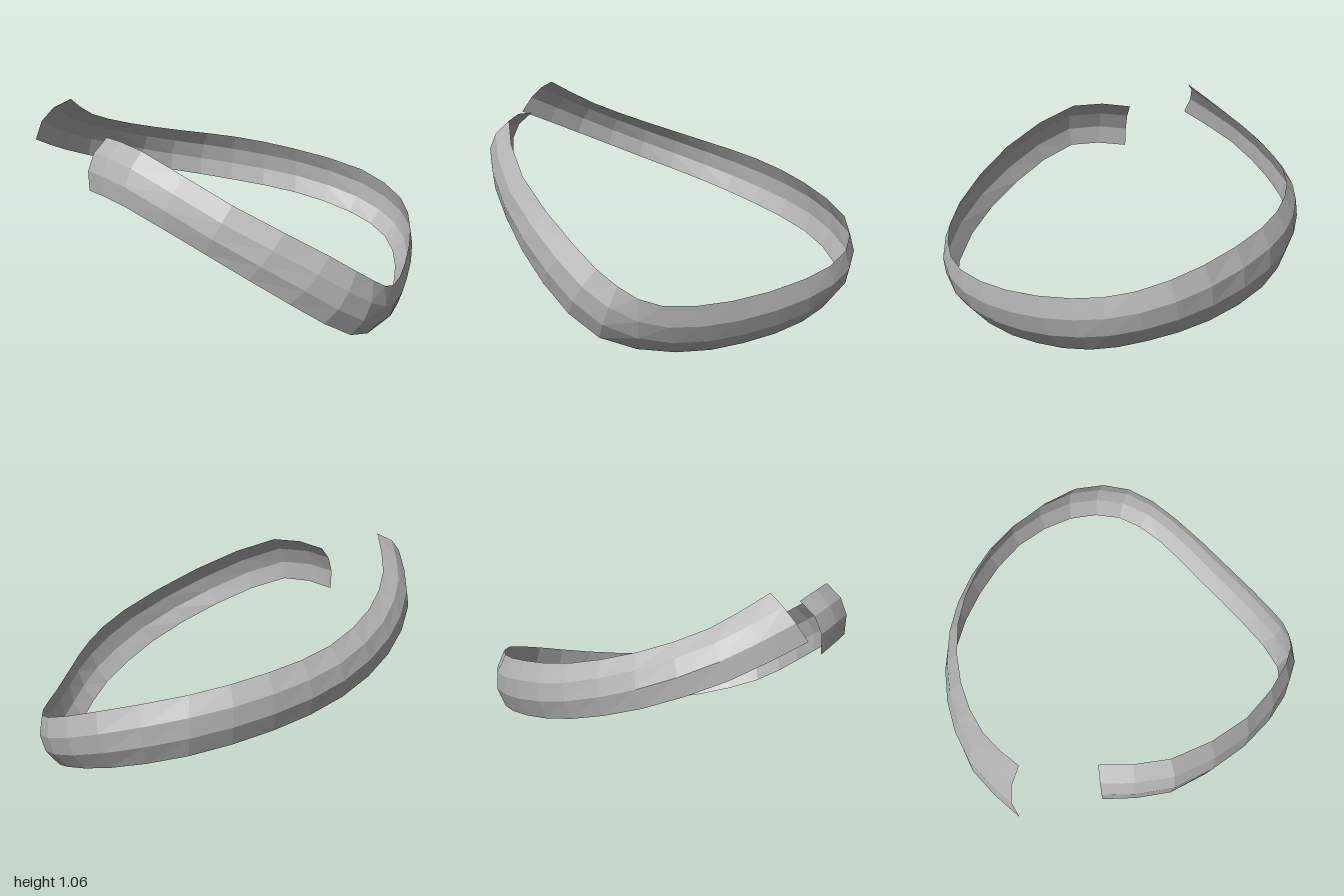
import * as THREE from 'three';

const SEGMENTS = 30; // facets along the band
const ROWS = 3;      // facets across the band
const BULGE = 0.04;  // outward bow of the cross-section

const curve = (points) =>
  new THREE.CatmullRomCurve3(points.map((p) => new THREE.Vector3(...p)), false, 'catmullrom', 0.5);

// Upper and lower edges of the band, running from the left front end round to the back end
const topEdge = curve([
  [-0.735, 0.94, -0.03], [-0.67, 0.95, 0.29], [-0.38, 0.76, 0.63], [0, 0.53, 0.825],
  [0.22, 0.38, 0.845], [0.39, 0.285, 0.75], [0.62, 0.26, 0.5], [0.86, 0.3, 0.18],
  [0.975, 0.37, -0.1], [0.89, 0.465, -0.39], [0.59, 0.555, -0.66], [0.27, 0.63, -0.8],
  [-0.06, 0.7, -0.83], [-0.39, 0.8, -0.74], [-0.65, 0.92, -0.57], [-0.81, 1.06, -0.365],
]);
const bottomEdge = curve([
  [-0.84, 0.7, 0], [-0.77, 0.71, 0.31], [-0.5, 0.54, 0.6], [-0.18, 0.32, 0.8],
  [0.12, 0.12, 0.83], [0.4, 0.02, 0.62], [0.63, 0.008, 0.36], [0.83, 0.055, 0.1],
  [0.915, 0.13, -0.15], [0.84, 0.2, -0.42], [0.6, 0.28, -0.67], [0.25, 0.365, -0.82],
  [-0.11, 0.46, -0.87], [-0.47, 0.58, -0.8], [-0.79, 0.73, -0.62], [-1, 0.88, -0.35],
]);

function bandGeometry() {
  const positions = [];
  const indices = [];
  for (let i = 0; i <= SEGMENTS; i++) {
    const t = i / SEGMENTS;
    const top = topEdge.getPoint(t);
    const bottom = bottomEdge.getPoint(t);
    const tangent = topEdge.getTangent(t).add(bottomEdge.getTangent(t));
    const outward = tangent.cross(top.clone().sub(bottom)).normalize();
    // Shallow arc from the lower to the upper edge
    for (let j = 0; j <= ROWS; j++) {
      const s = j / ROWS;
      const p = bottom.clone().lerp(top, s).addScaledVector(outward, BULGE * 4.5 * s * (1 - s));
      positions.push(p.x, p.y, p.z);
      if (i < SEGMENTS && j < ROWS) {
        const a = i * (ROWS + 1) + j;
        const b = a + ROWS + 1;
        indices.push(a, b, b + 1, a, b + 1, a + 1);
      }
    }
  }
  const geometry = new THREE.BufferGeometry();
  geometry.setAttribute('position', new THREE.Float32BufferAttribute(positions, 3));
  geometry.setIndex(indices);
  geometry.computeVertexNormals();
  return geometry;
}

export function createModel() {
  const grey = new THREE.MeshStandardMaterial({ color: 0xb4b4b4, flatShading: true, side: THREE.DoubleSide });
  grey.name = 'grey';

  const band = new THREE.Mesh(bandGeometry(), grey);
  band.name = 'openBand';

  const model = new THREE.Group();
  model.name = 'curvedBand';
  model.add(band);
  return model;
}
